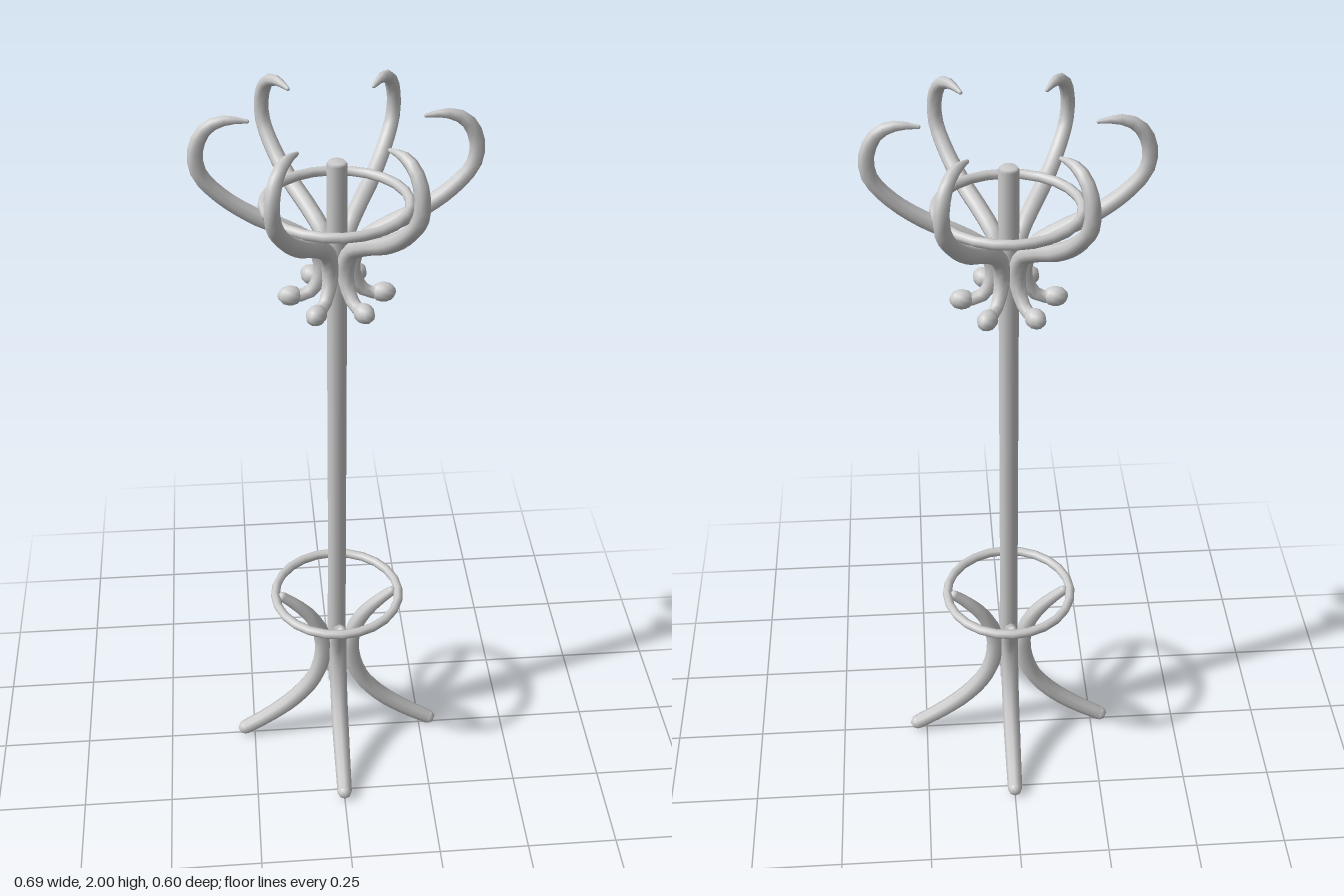
import * as THREE from 'three';

const material = new THREE.MeshStandardMaterial({ color: 0xcccccc });
const SIDES = 8;

function addMesh(parent, name, geometry) {
  const mesh = new THREE.Mesh(geometry, material);
  mesh.name = name;
  parent.add(mesh);
  return mesh;
}

// Bent rod through [radius from pole, height] points; thickness varies evenly along its length
function bentRod(name, points, thickness, segments) {
  const rod = new THREE.Group();
  rod.name = name;
  const curve = new THREE.CatmullRomCurve3(points.map(([r, y]) => new THREE.Vector3(r, y, 0)));
  const geometry = new THREE.TubeGeometry(curve, segments, 1, SIDES);
  const position = geometry.attributes.position;
  const v = new THREE.Vector3();
  for (let i = 0; i <= segments; i++) {
    const u = i / segments;
    const centre = curve.getPointAt(u);
    const k = u * (thickness.length - 1);
    const j = Math.min(Math.floor(k), thickness.length - 2);
    const radius = THREE.MathUtils.lerp(thickness[j], thickness[j + 1], k - j);
    for (let s = 0; s <= SIDES; s++) {
      const n = i * (SIDES + 1) + s;
      v.fromBufferAttribute(position, n).sub(centre).multiplyScalar(radius).add(centre);
      position.setXYZ(n, v.x, v.y, v.z);
    }
  }
  addMesh(rod, name + 'Rod', geometry);
  // Rounded ends
  [0, 1].forEach((u) => {
    const radius = thickness[u * (thickness.length - 1)];
    const end = addMesh(rod, name + 'End', new THREE.SphereGeometry(radius, SIDES, 6));
    end.position.copy(curve.getPointAt(u));
  });
  return rod;
}

export function createModel() {
  const model = new THREE.Group();
  model.name = 'coatStand';

  // Central pole with a slightly bevelled top
  const poleProfile = [[0, 0.2], [0.022, 0.2], [0.025, 0.206], [0.025, 1.868], [0.02, 1.875], [0, 1.875]];
  const pole = new THREE.LatheGeometry(poleProfile.map(([r, y]) => new THREE.Vector2(r, y)), 12);
  addMesh(model, 'pole', pole);

  // Lower umbrella ring and upper hook ring
  [['lowerRing', 0.545], ['upperRing', 1.768]].forEach(([name, y]) => {
    const ring = addMesh(model, name, new THREE.TorusGeometry(0.175, 0.0128, SIDES, 24));
    ring.rotation.x = Math.PI / 2;
    ring.position.y = y;
  });

  // Four curved legs, splayed at the foot and reaching the lower ring
  const legPath = [
    [0.278, 0.023], [0.2, 0.075], [0.125, 0.14], [0.07, 0.215], [0.043, 0.3],
    [0.043, 0.38], [0.07, 0.45], [0.11, 0.5], [0.155, 0.54],
  ];
  for (let i = 0; i < 4; i++) {
    const leg = bentRod('leg', legPath, [0.021, 0.024, 0.025, 0.024, 0.014], 20);
    leg.rotation.y = (i * Math.PI) / 2;
    model.add(leg);
  }

  // Six S-shaped hooks, each with a small knob below and a curled tip above
  const hookPath = [
    [0.115, 1.522], [0.075, 1.525], [0.045, 1.56], [0.036, 1.61], [0.06, 1.665], [0.12, 1.705],
    [0.2, 1.745], [0.275, 1.8], [0.322, 1.86], [0.325, 1.92], [0.298, 1.968], [0.255, 1.985], [0.205, 1.981],
  ];
  const hookThickness = [0.015, 0.018, 0.022, 0.022, 0.022, 0.022, 0.021, 0.02, 0.019, 0.018, 0.015, 0.005];
  for (let i = 0; i < 6; i++) {
    const hook = bentRod('hook', hookPath, hookThickness, 28);
    const knob = addMesh(hook, 'knob', new THREE.SphereGeometry(0.025, 10, 8));
    knob.scale.x = 1.25;
    knob.position.set(0.115, 1.522, 0);
    hook.rotation.y = (i * Math.PI) / 3;
    model.add(hook);
  }

  return model;
}
